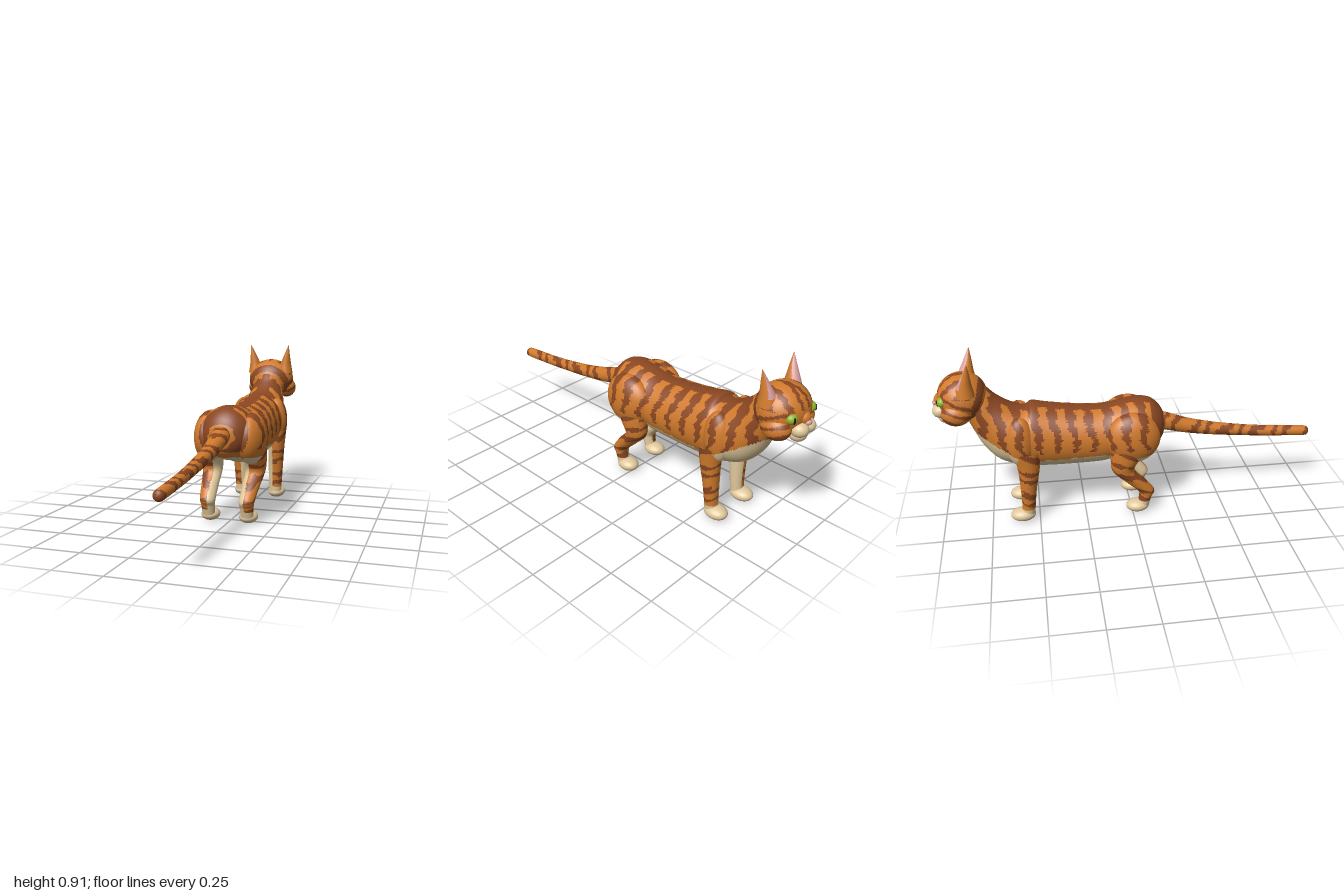
import * as THREE from 'three';

const flat = (name, color) => Object.assign(new THREE.MeshStandardMaterial({ color }), { name });
const MATS = [
  flat('orange fur', 0xd07a2c), flat('brown stripe', 0x8a4722), flat('cream fur', 0xe0c89c),
  flat('pink skin', 0xdca0a0), flat('green iris', 0x8fb528), flat('dark pupil', 0x1c1a14),
];
const [ORANGE, BROWN, CREAM, PINK, GREEN, DARK] = [0, 1, 2, 3, 4, 5];
const V = (x, y, z) => new THREE.Vector3(x, y, z);

// Sort triangles into material groups by a rule on their centre point
function paint(geo, rule) {
  const p = geo.attributes.position, idx = geo.index.array, bins = MATS.map(() => []);
  for (let i = 0; i < idx.length; i += 3) {
    const c = V(0, 0, 0);
    for (let k = 0; k < 3; k++) c.add(V(p.getX(idx[i + k]), p.getY(idx[i + k]), p.getZ(idx[i + k])));
    c.divideScalar(3);
    bins[rule(Math.abs(c.x), c.y, c.z)].push(idx[i], idx[i + 1], idx[i + 2]);
  }
  geo.setIndex(bins.flat());
  geo.clearGroups();
  let start = 0;
  bins.forEach((b, m) => {
    if (b.length) geo.addGroup(start, b.length, m);
    start += b.length;
  });
  return geo;
}

function part(name, geo, colour) {
  const painted = typeof colour === 'function';
  const mesh = new THREE.Mesh(painted ? paint(geo, colour) : geo, painted ? MATS : MATS[colour]);
  mesh.name = name;
  return mesh;
}

// Smooth skin through elliptical rings [centre, half axis u, half axis v]
function loft(rings, steps, sides) {
  const [C, U, W] = [0, 1, 2].map(k => new THREE.CatmullRomCurve3(rings.map(r => r[k]), false, 'catmullrom', 0.5));
  const pos = [], idx = [];
  const axis = rings[rings.length - 1][0].clone().sub(rings[0][0]);
  const outward = rings[1][1].clone().cross(rings[1][2]).dot(axis) > 0;
  for (let i = 0; i <= steps; i++) {
    const t = i / steps, c = C.getPoint(t), u = U.getPoint(t), w = W.getPoint(t);
    for (let j = 0; j < sides; j++) {
      const a = j / sides * Math.PI * 2;
      const q = c.clone().addScaledVector(u, Math.cos(a)).addScaledVector(w, Math.sin(a));
      pos.push(q.x, q.y, q.z);
      if (i === steps) continue;
      const k = (j + 1) % sides, A = i * sides + j, B = i * sides + k, D = A + sides, E = B + sides;
      if (outward) idx.push(A, B, E, A, E, D);
      else idx.push(A, E, B, A, D, E);
    }
  }
  const g = new THREE.BufferGeometry();
  g.setAttribute('position', new THREE.Float32BufferAttribute(pos, 3));
  g.setIndex(idx);
  g.computeVertexNormals();
  return g;
}

// Rings lying flat, for legs and ears: rows of [x, y, z, rx, rz]
const flatRings = (rows, s) => rows.map(([x, y, z, rx, rz]) => [V(s * x, y, z), V(rx, 0, 0), V(0, 0, rz)]);

const ball = (x, y, z, rx, ry, rz, n = 32) =>
  new THREE.SphereGeometry(1, n, Math.round(n * 0.7)).scale(rx, ry, rz).translate(x, y, z);

// Coat patterns (x is the distance from the middle)
const wobble = (x, y, z) => 0.6 * Math.sin(41 * y + 9 * z) + 0.4 * Math.sin(67 * x + 31 * y) + 0.35 * Math.sin(130 * y + 90 * z);

function coat(x, y, z) {
  const w = wobble(x, y, z);
  if (y < 0.365 + Math.max(0, -0.5 - z) * 0.5 + 0.008 * w) return CREAM;
  if (z > 0.1) { // ring around the tail root
    const r = Math.hypot(x / 0.13, (y - 0.49) / 0.14);
    return r > 0.5 + 0.08 * w && r < 1.02 && y > 0.4 ? BROWN : ORANGE;
  }
  if (x < 0.035 + 0.01 * w && y > 0.5) return BROWN;
  if (y < 0.41) return ORANGE;
  return Math.sin(z * 70 + 1.1 * w + 8 * y) > 0.75 - (y - 0.4) * 4.2 ? BROWN : ORANGE;
}

function headCoat(x, y, z) {
  const w = wobble(x, y, z);
  if (z < -0.9 && y < 0.632 && x < 0.075) return CREAM;
  if (z < -0.8 && y < 0.592) return CREAM;
  if (z > -0.8) { // nape: arched band over a wedge
    const r = Math.hypot(x, y - 0.66);
    return (r > 0.095 + 0.006 * w && r < 0.13) || (y < 0.7 && x < 0.05) ? BROWN : ORANGE;
  }
  if (y > 0.735) return Math.sin(x * 105 + 0.9 * w + 14 * z) > 0.35 ? BROWN : ORANGE;
  return x > 0.085 && Math.sin(y * 120 + z * 45 + 0.8 * w) > 0.4 ? BROWN : ORANGE;
}

const legCoat = inner => (x, y, z) => {
  if (y < 0.075 || x < inner) return CREAM;
  return Math.sin(y * 88 + 1.6 * wobble(x, y, z) + 25 * z) > 0.35 ? BROWN : ORANGE;
};

export function createModel() {
  const cat = new THREE.Group();
  cat.name = 'cat';
  const add = (name, geo, colour) => cat.add(part(name, geo, colour));

  // Body and neck: [top z, top y, bottom z, bottom y, half width]
  const body = [
    [0.183, 0.485, 0.183, 0.483, 0.001], [0.178, 0.535, 0.176, 0.425, 0.055], [0.15, 0.585, 0.15, 0.38, 0.1],
    [0.1, 0.62, 0.1, 0.35, 0.132], [0.02, 0.627, 0.02, 0.335, 0.15], [-0.07, 0.612, -0.07, 0.315, 0.15],
    [-0.15, 0.597, -0.15, 0.29, 0.149], [-0.3, 0.607, -0.3, 0.285, 0.15], [-0.42, 0.625, -0.42, 0.285, 0.15],
    [-0.505, 0.641, -0.52, 0.29, 0.15], [-0.54, 0.622, -0.6, 0.308, 0.152], [-0.61, 0.642, -0.69, 0.345, 0.138],
    [-0.68, 0.69, -0.76, 0.42, 0.112], [-0.73, 0.74, -0.8, 0.5, 0.096], [-0.78, 0.77, -0.84, 0.6, 0.08],
  ].map(([tz, ty, bz, by, w]) => [V(0, (ty + by) / 2, (tz + bz) / 2), V(w, 0, 0), V(0, (ty - by) / 2, (tz - bz) / 2)]);
  add('body', loft(body, 130, 80), coat);

  // Tail
  const tail = [
    [0.12, 0.5, 0.052], [0.19, 0.483, 0.049], [0.32, 0.445, 0.041], [0.46, 0.417, 0.035], [0.6, 0.397, 0.031],
    [0.73, 0.382, 0.029], [0.87, 0.371, 0.028], [0.97, 0.364, 0.027], [0.993, 0.363, 0.018], [1, 0.363, 0.001],
  ].map(([z, y, r]) => [V(0, y, z), V(r, 0, 0), V(0, r, 0)]);
  add('tail', loft(tail, 110, 24), (x, y, z) =>
    Math.sin(z * 72 + 1.5 * Math.sin(z * 31) + x * 70 + wobble(x, y, z)) > 0.25 ? BROWN : ORANGE);

  // Head and muzzle
  add('head', ball(0, 0.7, -0.845, 0.138, 0.122, 0.125, 72), headCoat);
  add('noseBridge', ball(0, 0.69, -0.945, 0.035, 0.036, 0.042), ORANGE);
  add('chin', ball(0, 0.598, -0.935, 0.045, 0.036, 0.042), CREAM);
  add('nose', ball(0, 0.675, -0.981, 0.019, 0.014, 0.015, 20), PINK);

  const backLeg = [
    [0.125, 0.42, -0.02, 0.06, 0.1], [0.123, 0.34, -0.04, 0.06, 0.078], [0.12, 0.27, -0.05, 0.054, 0.058],
    [0.114, 0.2, 0.012, 0.047, 0.054], [0.108, 0.13, 0.073, 0.042, 0.044], [0.107, 0.09, 0.07, 0.037, 0.034],
    [0.107, 0.03, 0.055, 0.034, 0.032],
  ];
  const frontLeg = [
    [0.118, 0.42, -0.55, 0.05, 0.07], [0.112, 0.32, -0.543, 0.048, 0.057], [0.108, 0.2, -0.55, 0.043, 0.043],
    [0.105, 0.1, -0.555, 0.039, 0.036], [0.105, 0.03, -0.56, 0.036, 0.035],
  ];
  const ear = [
    [0.094, 0.74, -0.825, 0.046, 0.05], [0.098, 0.79, -0.822, 0.034, 0.038],
    [0.108, 0.85, -0.811, 0.018, 0.02], [0.12, 0.912, -0.8, 0.001, 0.001],
  ];

  for (const s of [1, -1]) {
    const side = s > 0 ? 'left' : 'right';
    // Haunch, shoulder and legs
    add(side + 'Haunch', ball(s * 0.115, 0.455, 0, 0.08, 0.14, 0.145, 56), coat);
    add(side + 'Shoulder', ball(s * 0.105, 0.47, -0.575, 0.062, 0.135, 0.075, 48), coat);
    add(side + 'BackLeg', loft(flatRings(backLeg, s), 60, 32), legCoat(0.1));
    add(side + 'FrontLeg', loft(flatRings(frontLeg, s), 50, 32), legCoat(0.098));
    add(side + 'BackPaw', ball(s * 0.106, 0.036, 0.028, 0.05, 0.034, 0.062), CREAM);
    add(side + 'FrontPaw', ball(s * 0.106, 0.036, -0.588, 0.05, 0.035, 0.066), CREAM);

    // Face
    add(side + 'Cheek', ball(s * 0.092, 0.645, -0.875, 0.057, 0.06, 0.075, 44), headCoat);
    add(side + 'Muzzle', ball(s * 0.028, 0.64, -0.955, 0.042, 0.036, 0.044), CREAM);
    add(side + 'Ear', loft(flatRings(ear, s), 24, 32), (x, y, z) => {
      const t = (y - 0.74) / 0.172, mid = 0.094 + 0.026 * t * t;
      return z < -0.826 + 0.025 * t && y > 0.785 && Math.abs(x - mid) < 0.04 * (1 - t) ? PINK : ORANGE;
    });

    // Eye with an upright slit pupil
    const eye = new THREE.Group();
    eye.name = side + 'Eye';
    eye.add(part('iris', ball(0, 0, 0, 0.028, 0.025, 0.024), GREEN));
    eye.add(part('pupil', ball(0, 0, 0.022, 0.006, 0.017, 0.004, 16), DARK));
    eye.position.set(s * 0.076, 0.706, -0.941);
    eye.rotation.y = Math.PI - s * 0.4;
    cat.add(eye);
  }
  return cat;
}
